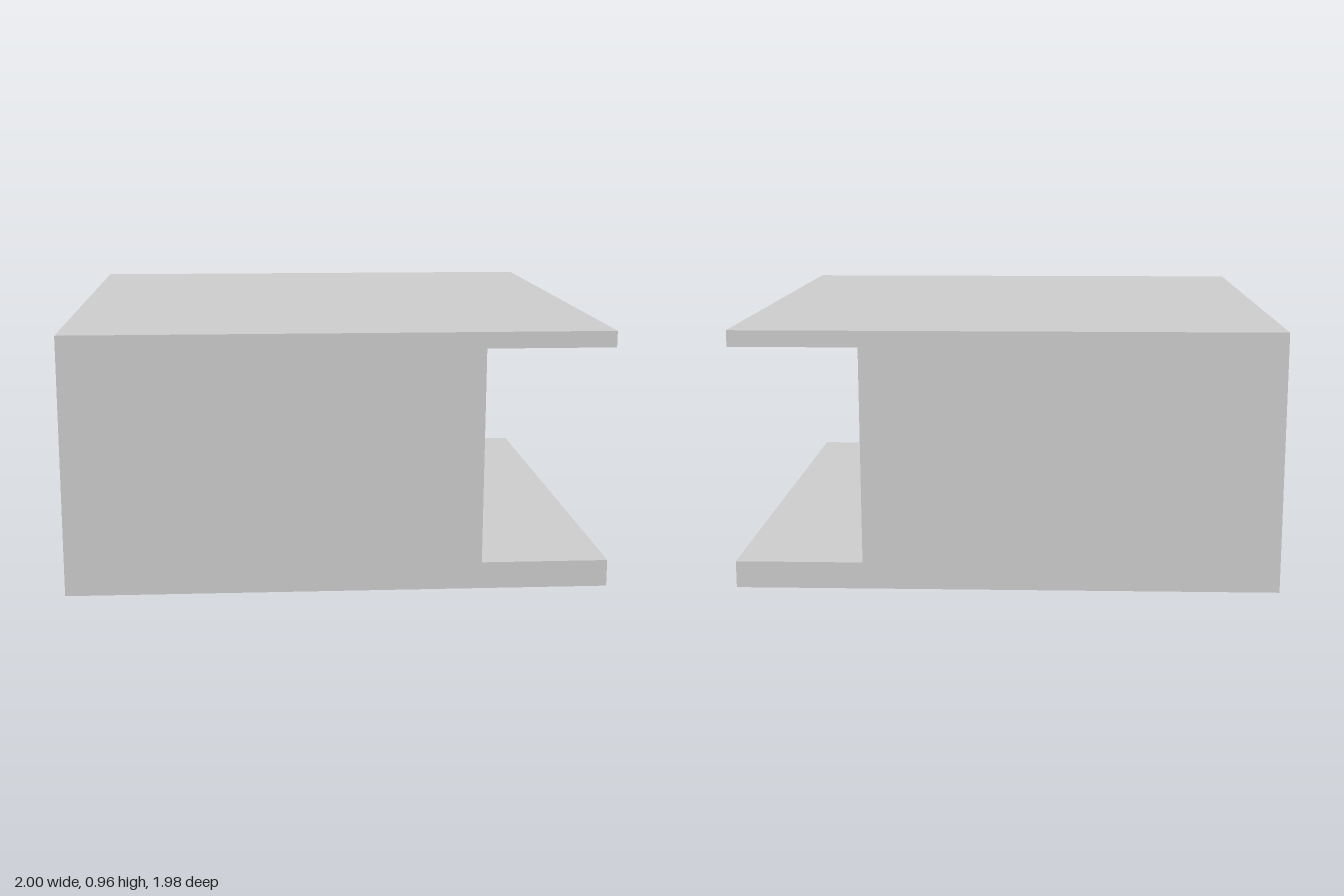
import * as THREE from 'three';

// Extrude a plan outline (points given as [x, z]) upwards between two heights.
function slab(name, outline, y0, y1, hole) {
  const toPoints = (list) => list.map(([x, z]) => new THREE.Vector2(x, -z));
  const shape = new THREE.Shape(toPoints(outline));
  if (hole) shape.holes.push(new THREE.Path(toPoints(hole)));
  const geometry = new THREE.ExtrudeGeometry(shape, { depth: y1 - y0, bevelEnabled: false });
  geometry.rotateX(-Math.PI / 2);
  geometry.translate(0, y0, 0);
  const material = new THREE.MeshStandardMaterial({ color: 0xcccccc, flatShading: true });
  const mesh = new THREE.Mesh(geometry, material);
  mesh.name = name;
  return mesh;
}

const rect = (x0, x1, z0, z1) => [[x0, z1], [x1, z1], [x1, z0], [x0, z0]];

export function createModel() {
  const group = new THREE.Group();
  group.name = 'openBox';

  const D = 0.99;        // half depth
  const wallEnd = 0.53;  // where the side walls stop
  const inner = -0.87;   // inner face of the end wall
  const backIn = -0.9;   // inner face of the back wall
  const frontIn = 0.92;  // inner face of the front wall
  const floorTop = 0.1, roofBottom = 0.9, top = 0.96;

  // Floor with a rectangular opening along the back wall
  group.add(slab('floor', rect(-1, 1, -D, D), 0, floorTop, rect(inner, wallEnd, backIn, -0.45)));

  // U-shaped walls, open towards +x
  group.add(slab('walls', [
    [-1, D], [wallEnd, D], [wallEnd, frontIn], [inner, frontIn],
    [inner, backIn], [wallEnd, backIn], [wallEnd, -D], [-1, -D],
  ], floorTop, roofBottom));

  // Roof covering the whole plan
  group.add(slab('roof', rect(-1, 1, -D, D), roofBottom, top));

  return group;
}
